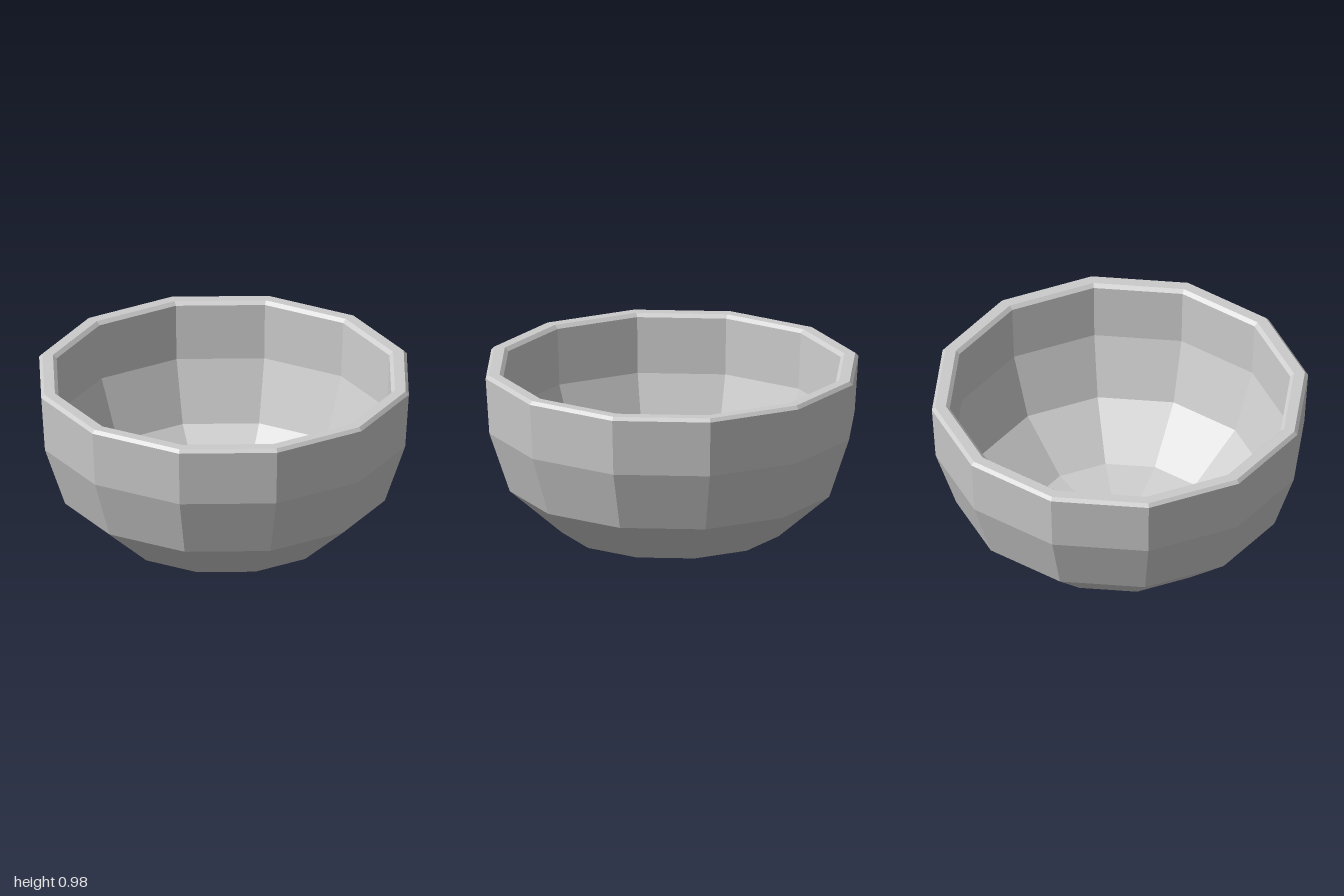
import * as THREE from 'three';

const SIDES = 12;

export function createModel() {
  const group = new THREE.Group();
  group.name = 'bowl';
  const material = new THREE.MeshStandardMaterial({ color: 0xcccccc, flatShading: true });

  // Lathe a [radius, height] profile into a faceted ring
  const addPart = (name, profile) => {
    const points = profile.map(([r, y]) => new THREE.Vector2(r, y));
    const mesh = new THREE.Mesh(new THREE.LatheGeometry(points, SIDES), material);
    mesh.name = name;
    group.add(mesh);
  };

  // Outer wall, from the flat base up to the rim
  const outer = [[0, 0], [0.25, 0], [0.59, 0.09], [0.87, 0.335], [0.98, 0.66], [1, 0.962]];
  // Inner wall, from the rim down to the floor
  const inner = [[0.905, 0.962], [0.89, 0.66], [0.775, 0.335], [0.505, 0.1], [0.16, 0.025], [0, 0.025]];

  addPart('outerWall', outer);
  // Flat rim with a small bevel on both edges
  addPart('rim', [outer.at(-1), [0.983, 0.98], [0.925, 0.98], inner[0]]);
  addPart('innerWall', inner);

  return group;
}
